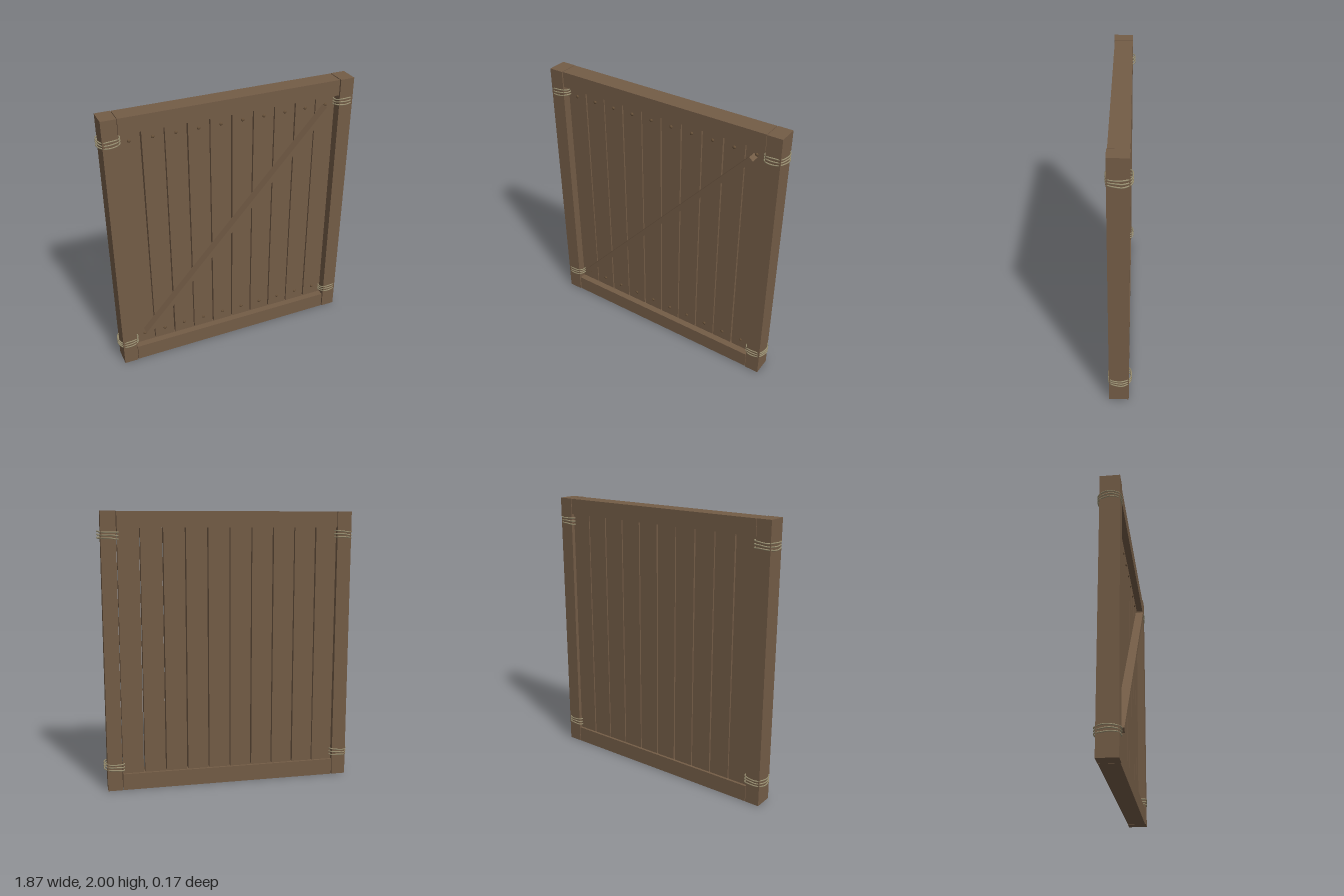
import * as THREE from 'three';

export function createModel() {
  const model = new THREE.Group();
  model.name = 'woodenGate';

  const wood = new THREE.MeshStandardMaterial({ color: 0x735c46 });
  wood.name = 'brown wood';
  const peg = new THREE.MeshStandardMaterial({ color: 0x665039 });
  peg.name = 'dark peg';
  const rope = new THREE.MeshStandardMaterial({ color: 0x9a9072 });
  rope.name = 'pale rope';

  function add(name, geometry, material, x, y, z, parent = model) {
    const mesh = new THREE.Mesh(geometry, material);
    mesh.name = name;
    mesh.position.set(x, y, z);
    parent.add(mesh);
    return mesh;
  }

  // Frame: two posts and two rails, with a hairline joint between them
  const posts = [{ name: 'right', x: -0.862, side: -1 }, { name: 'left', x: 0.847, side: 1 }];
  for (const p of posts) {
    add(p.name + 'Post', new THREE.BoxGeometry(0.105, 2, 0.14), wood, p.x, 1, 0.004);
  }
  add('topRail', new THREE.BoxGeometry(1.594, 0.114, 0.134), wood, -0.008, 1.942, 0.002);
  add('bottomRail', new THREE.BoxGeometry(1.594, 0.12, 0.134), wood, -0.008, 0.06, 0.002);

  // Planks, each leaning a little so that the gaps taper, with a peg at either end
  const planks = new THREE.Group();
  planks.name = 'planks';
  model.add(planks);
  const plankGeometry = new THREE.BoxGeometry(0.151, 1.79, 0.065);
  const pegGeometry = new THREE.SphereGeometry(0.012, 12, 8);
  const lean = [0.001, -0.001, 0.0006, -0.0006, 0.001, 0.0002, -0.0003, 0.0002, -0.001, 0.0008];
  for (let i = 0; i < 10; i++) {
    const x = -0.728 + i * 0.16;
    const plank = add('plank', plankGeometry, wood, x, 1.003, -0.013, planks);
    plank.rotation.z = lean[i];
    for (const y of [0.195, 1.812]) {
      add('peg', pegGeometry, peg, x, y, 0.021, planks).scale.z = 0.7;
    }
  }

  // Diagonal brace
  const from = new THREE.Vector2(-0.72, 0.23);
  const to = new THREE.Vector2(0.705, 1.805);
  const span = to.clone().sub(from);
  const brace = add('diagonalBrace', new THREE.BoxGeometry(span.length(), 0.037, 0.065), wood,
    (from.x + to.x) / 2, (from.y + to.y) / 2, 0.05);
  brace.rotation.z = span.angle();

  // Rope lashings: three loose loops at the top and bottom of each post
  const loop = [[-0.062, -0.068], [-0.015, -0.082], [0.035, -0.072], [0.07, -0.025],
    [0.072, 0.02], [0.05, 0.066], [0.01, 0.077], [-0.04, 0.076], [-0.068, 0.05], [-0.07, -0.01]];
  for (const p of posts) {
    for (const y of [0.177, 1.835]) {
      const lashing = new THREE.Group();
      lashing.name = p.name + 'Lashing';
      lashing.position.set(p.x, y, 0);
      model.add(lashing);
      for (let k = -1; k <= 1; k++) {
        const points = loop.map(([x, z], i) => new THREE.Vector3(
          p.side * x, k * 0.021 + 0.06 * p.side * x + 0.003 * Math.sin(i * 2 + k), z));
        const curve = new THREE.CatmullRomCurve3(points, true);
        add('ropeLoop', new THREE.TubeGeometry(curve, 48, 0.0048, 6, true), rope, 0, 0, 0, lashing);
      }
    }
  }

  return model;
}
